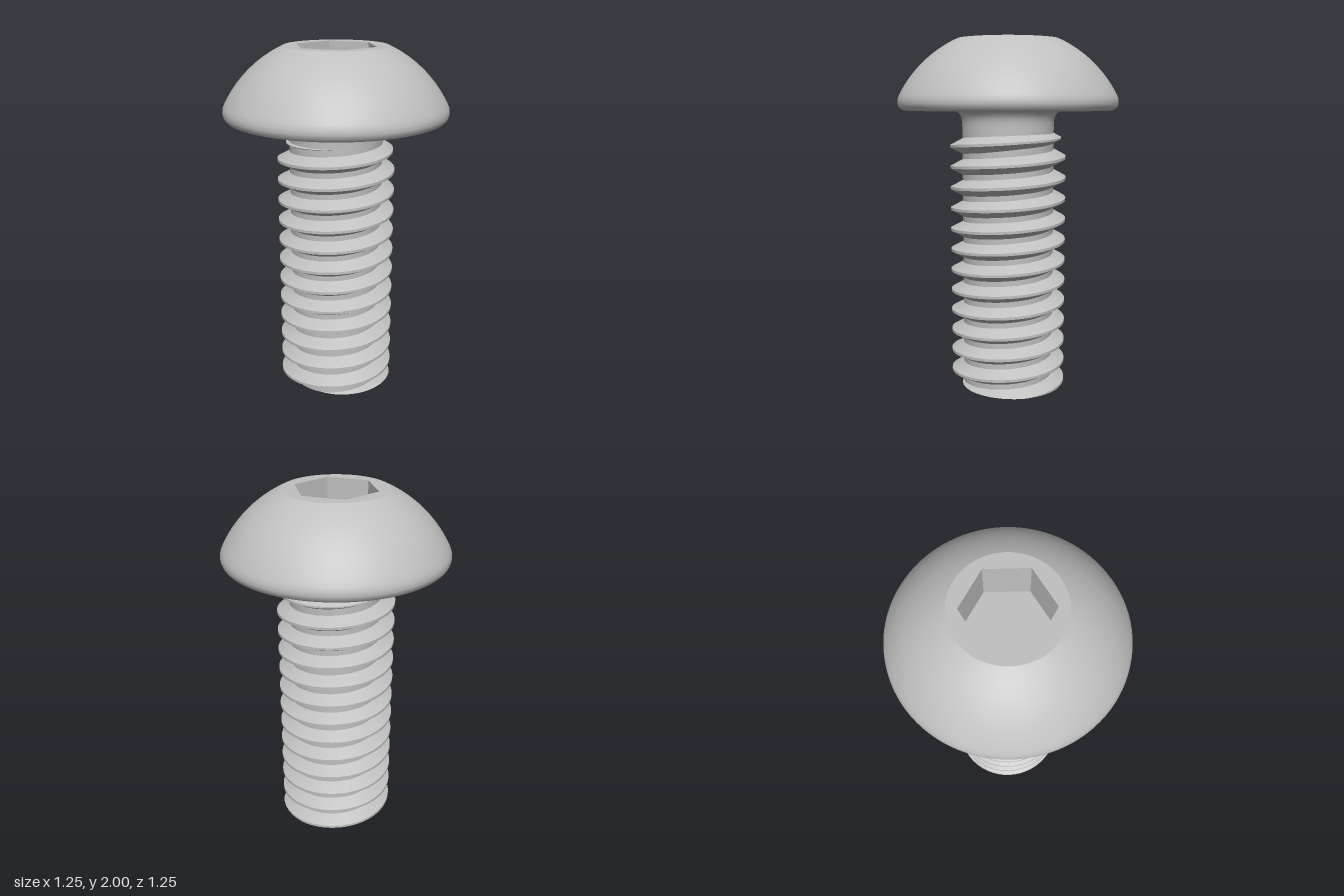
import * as THREE from 'three';

const ROOT = 0.262, CREST = 0.332;        // thread radii
const PITCH = 0.12, PHASE = 0.113;        // crest height at +x on turn 0
const BASE = 0.045, FLAT = 0.0075;        // half heights of the thread at root and crest
const SEG = 72;                           // columns per turn
const SHAFT_TOP = 1.5;
const SOCKET_DEPTH = 0.24;

// Thread radius at height offset d from the crest line, k = fade-out factor
function threadRadius(d, k = 1) {
  const f = THREE.MathUtils.clamp((BASE - Math.abs(d)) / (BASE - FLAT), 0, 1);
  return ROOT + (CREST - ROOT) * f * k;
}

// Helical ridge, cut level at y = 0 and fading out below the neck
function threadGeometry() {
  const fade = 10.85, end = 11.75;
  const first = -2 * SEG, last = Math.round(end * SEG);
  const offsets = [-BASE, -FLAT, FLAT, BASE];
  const pos = [], index = [];
  for (let j = 0; j < 3; j++) {           // lower flank, crest, upper flank
    for (let i = first; i <= last; i++) {
      const turn = i / SEG, a = turn * Math.PI * 2;
      const yc = PHASE + PITCH * turn - 0.05 * Math.max(0, turn - 11);
      const k = THREE.MathUtils.clamp((end - turn) / (end - fade), 0, 1);
      for (const off of [offsets[j], offsets[j + 1]]) {
        const d = THREE.MathUtils.clamp(Math.max(off, -yc), -BASE, BASE);
        const r = threadRadius(d, k);
        pos.push(r * Math.cos(a), Math.max(0, yc + d * k), -r * Math.sin(a));
      }
      if (i < last) {
        const p = pos.length / 3 - 2;
        index.push(p, p + 2, p + 3, p, p + 3, p + 1);
      }
    }
  }
  const g = new THREE.BufferGeometry();
  g.setAttribute('position', new THREE.Float32BufferAttribute(pos, 3));
  g.setIndex(index);
  g.computeVertexNormals();
  return g;
}

// Flat end following the cut thread outline
function endGeometry() {
  const pts = [];
  for (let i = 0; i < SEG; i++) {
    const a = (i / SEG) * Math.PI * 2;
    let d = -(PHASE + PITCH * i / SEG);
    d -= PITCH * Math.round(d / PITCH);
    const r = threadRadius(d);
    pts.push(new THREE.Vector2(r * Math.cos(a), -r * Math.sin(a)));
  }
  return new THREE.ShapeGeometry(new THREE.Shape(pts)).rotateX(Math.PI / 2);
}

export function createModel() {
  const group = new THREE.Group();
  const steel = new THREE.MeshStandardMaterial({ color: 0xc0c0c0 });
  steel.name = 'steel';

  const add = (name, geometry, y = 0) => {
    const mesh = new THREE.Mesh(geometry, steel);
    mesh.name = name;
    mesh.position.y = y;
    group.add(mesh);
  };
  const lathe = (pts) =>
    new THREE.LatheGeometry(pts.map(([r, y]) => new THREE.Vector2(r, y)), 96);

  // Threaded shaft
  add('shaftCore', new THREE.CylinderGeometry(ROOT, ROOT, SHAFT_TOP, SEG, 1, true), SHAFT_TOP / 2);
  add('thread', threadGeometry());
  add('shaftEnd', endGeometry());

  // Neck flaring into the underside of the head
  add('neck', lathe([[ROOT, SHAFT_TOP], [ROOT, 1.535], [0.266, 1.56], [0.276, 1.582],
    [0.291, 1.597], [0.312, 1.603]]));
  add('headUnderside', lathe([[0.31, 1.603], [0.59, 1.603]]));

  // Rounded rim continuing into a spherical dome
  const profile = [[0.59, 1.603], [0.607, 1.609], [0.62, 1.623], [0.626, 1.643], [0.624, 1.667]];
  const centreY = 1.371, radius = 0.6926;
  const a0 = Math.asin((1.69 - centreY) / radius), a1 = Math.asin((2 - centreY) / radius);
  for (let i = 0; i <= 16; i++) {
    const a = a0 + (a1 - a0) * i / 16;
    profile.push([radius * Math.cos(a), centreY + radius * Math.sin(a)]);
  }
  add('headDome', lathe(profile));

  // Flat top with a hexagonal hole
  const top = new THREE.Shape().absarc(0, 0, 0.29, 0, Math.PI * 2);
  const turn = THREE.MathUtils.degToRad(35), hexRadius = 0.234;
  const hex = [];
  for (let i = 0; i < 6; i++) {
    const a = turn + i * Math.PI / 3;
    hex.push(new THREE.Vector2(hexRadius * Math.cos(a), hexRadius * Math.sin(a)));
  }
  top.holes.push(new THREE.Path(hex));
  add('headTop', new THREE.ShapeGeometry(top, 48).rotateX(-Math.PI / 2), 2);

  // Socket: mirrored hexagonal tube so its faces point inwards, plus a floor
  const walls = new THREE.CylinderGeometry(hexRadius, hexRadius, SOCKET_DEPTH, 6, 1, true,
    Math.PI / 2 - turn).scale(-1, 1, 1).toNonIndexed();
  walls.computeVertexNormals();
  add('socketWalls', walls, 2 - SOCKET_DEPTH / 2);
  add('socketFloor', new THREE.ShapeGeometry(new THREE.Shape(hex)).rotateX(-Math.PI / 2), 2 - SOCKET_DEPTH);

  return group;
}
